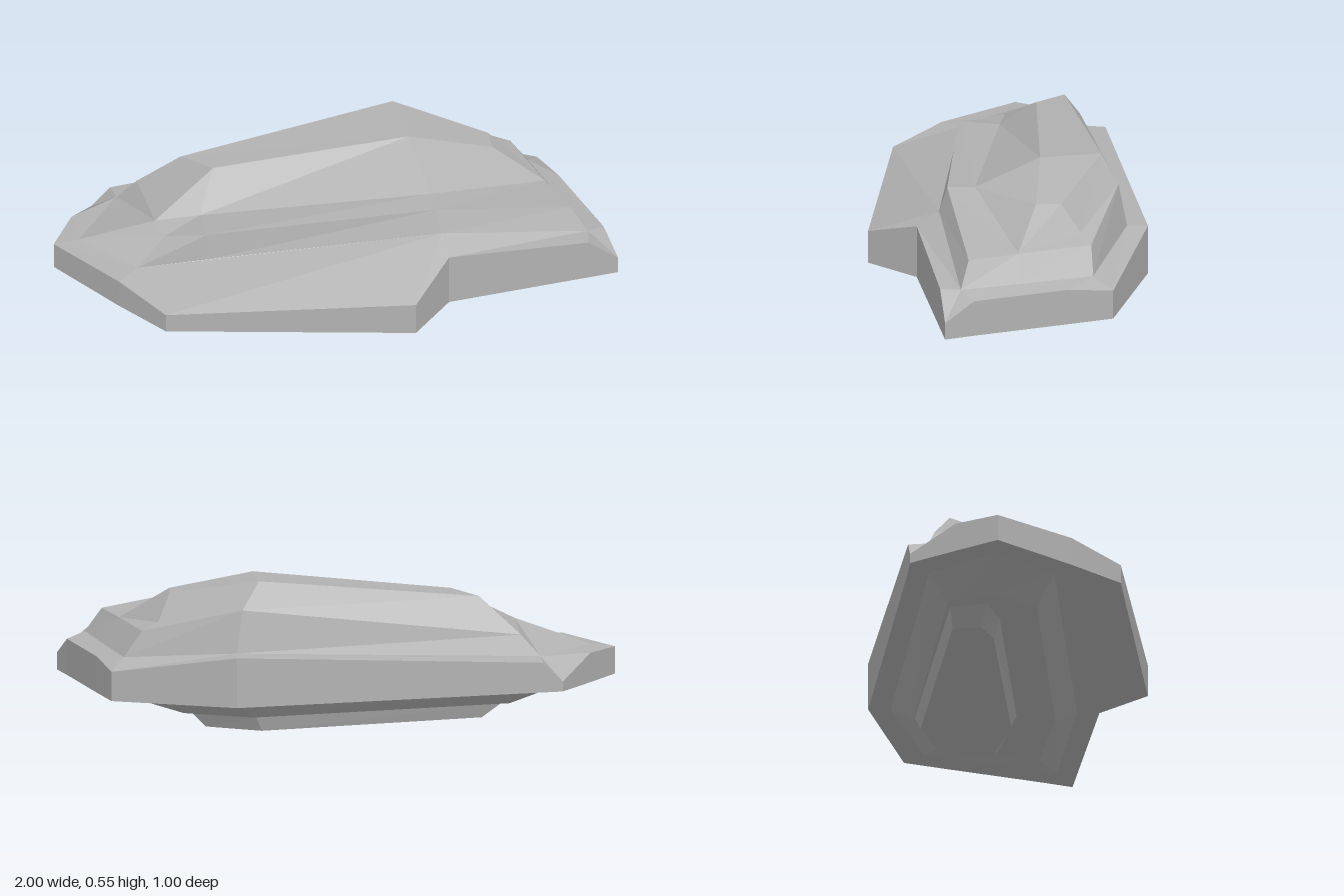
import * as THREE from 'three';

const hullGrey = new THREE.MeshStandardMaterial({ color: 0xb2b2b2 });
hullGrey.name = 'hull grey';

// Faceted mesh from a list of triangles, dropping collapsed ones
function facetMesh(name, tris) {
  const pts = [];
  for (const t of tris) {
    const [a, b, c] = t.map(p => new THREE.Vector3(...p));
    const area = b.clone().sub(a).cross(c.clone().sub(a)).length();
    if (area > 1e-6) pts.push(a, b, c);
  }
  const geo = new THREE.BufferGeometry().setFromPoints(pts);
  geo.computeVertexNormals();
  const mesh = new THREE.Mesh(geo, hullGrey);
  mesh.name = name;
  return mesh;
}

// Skin between two matching rings, lower (or outer) ring first
function loft(a, b) {
  return a.flatMap((p, i) => {
    const j = (i + 1) % a.length;
    return [[p, a[j], b[j]], [p, b[j], b[i]]];
  });
}

// Fan over a ring, facing up or down
function cap(ring, start, up) {
  const n = ring.length, tris = [];
  for (let k = 1; k < n - 1; k++) {
    const t = [ring[start], ring[(start + k) % n], ring[(start + k + 1) % n]];
    tris.push(up ? t : t.reverse());
  }
  return tris;
}

export function createModel() {
  const group = new THREE.Group();
  group.name = 'hull';

  // Underside of the slab rises towards -x
  const slabY = x => (x > 0.22 ? 0.118 : 0.118 + (0.22 - x) * 0.035);
  const onSlab = ([x, z]) => [x, slabY(x), z];

  // Slab rim, anticlockwise from the -x tip
  const slabTop = [
    [-1, 0.26, -0.07], [-0.81, 0.26, 0.2], [-0.67, 0.22, 0.38], [0.22, 0.24, 0.5],
    [0.37, 0.313, 0.33], [0.89, 0.27, 0.264], [1, 0.18, 0.25], [0.965, 0.25, 0.145],
    [0.86, 0.25, -0.2], [0.81, 0.225, -0.36], [0.36, 0.3, -0.5],
    [-0.74, 0.26, -0.385], [-0.81, 0.19, -0.38], [-0.91, 0.265, -0.22],
  ];
  const slabBottom = slabTop.map(([x, , z]) => onSlab([x, z]));
  group.add(facetMesh('slabSides', loft(slabBottom, slabTop)));

  // Deck between the slab rim and the foot of the upper hull
  const foot = [
    [-0.91, 0.27, -0.07], [-0.73, 0.27, 0.14], [0.36, 0.365, 0.25], [0.9, 0.27, 0.19],
    [0.765, 0.265, -0.29], [0.36, 0.303, -0.425], [-0.73, 0.27, -0.31],
  ];
  const match = [0, 1, 1, 2, 2, 3, 3, 3, 4, 4, 5, 6, 6, 6];
  group.add(facetMesh('deck', loft(slabTop, match.map(i => foot[i]))));

  // Upper hull: walls, ledge, then canopy
  const wallFoot = [
    foot[0], foot[1], [-0.48, 0.293, 0.165], foot[2], foot[3],
    [0.843, 0.267, -0.02], foot[4], foot[5], foot[6],
  ];
  const rim = [
    [-0.64, 0.355, -0.02], [-0.62, 0.34, 0.06], [-0.48, 0.39, 0.15], [0.34, 0.45, 0.22],
    [0.84, 0.36, 0.16], [0.78, 0.36, -0.02], [0.7, 0.36, -0.285],
    [0.34, 0.455, -0.395], [-0.66, 0.345, -0.29],
  ];
  const shoulder = [
    rim[0], rim[0], [-0.48, 0.375, 0.003], [0.34, 0.45, 0.12],
    rim[5], rim[5], [0.64, 0.385, -0.25], rim[7], rim[8],
  ];
  const roofFrontLeft = [-0.41, 0.485, -0.125], roofNose = [0.6, 0.48, -0.09];
  const roof = [
    roofFrontLeft, roofFrontLeft, roofFrontLeft, [0.3, 0.545, -0.115],
    roofNose, roofNose, [0.6, 0.48, -0.18], [0.28, 0.55, -0.335], [-0.51, 0.475, -0.23],
  ];
  group.add(facetMesh('upperWalls', loft(wallFoot, rim)));
  group.add(facetMesh('ledge', loft(rim, shoulder)));
  group.add(facetMesh('canopy', [...loft(shoulder, roof), ...cap(roof, 3, true)]));

  // Stepped belly below the slab
  const bellyTop = [
    [-0.9, -0.07], [-0.73, 0.14], [0.36, 0.25], [0.88, 0.19],
    [0.74, -0.29], [0.36, -0.42], [-0.73, -0.31],
  ].map(onSlab);
  const bellyLow = [
    [-0.7, 0.088, -0.07], [-0.6, 0.085, 0.08], [0.3, 0.053, 0.17], [0.64, 0.053, 0.12],
    [0.55, 0.053, -0.25], [0.3, 0.053, -0.34], [-0.62, 0.085, -0.24],
  ];
  const keelTop = [
    [-0.62, 0.086, -0.1], [-0.5, 0.082, -0.05], [0.26, 0.053, 0.03], [0.56, 0.053, -0.03],
    [0.52, 0.053, -0.24], [0.29, 0.053, -0.335], [-0.59, 0.084, -0.23],
  ];
  const keelLow = [
    [-0.54, 0.03, -0.12], [-0.45, 0.027, -0.07], [0.24, 0, 0.01], [0.5, 0, -0.05],
    [0.47, 0, -0.23], [0.27, 0, -0.315], [-0.52, 0.03, -0.22],
  ];
  group.add(facetMesh('slabUnderside', loft(match.map(i => bellyTop[i]), slabBottom)));
  group.add(facetMesh('belly', [...loft(bellyLow, bellyTop), ...loft(keelTop, bellyLow)]));
  group.add(facetMesh('keel', [...loft(keelLow, keelTop), ...cap(keelLow, 2, false)]));

  return group;
}
